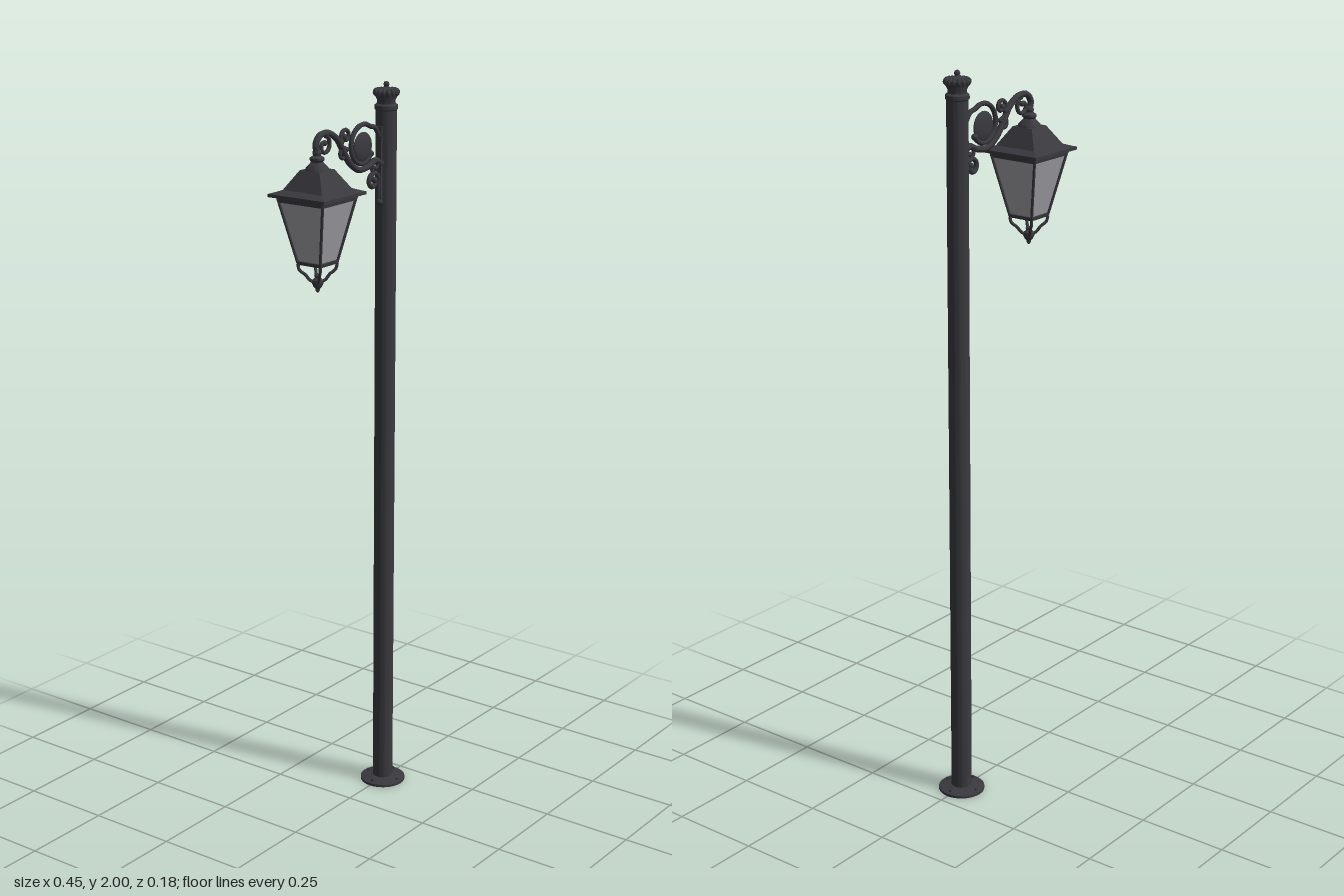
import * as THREE from 'three';
import { toCreasedNormals } from 'three/addons/utils/BufferGeometryUtils.js';

const POLE_X = 0.16, LAMP_X = -0.138;

export function createModel() {
  const root = new THREE.Group();
  root.name = 'streetLamp';
  const iron = new THREE.MeshStandardMaterial({ color: 0x3a393f });
  iron.name = 'dark iron';
  const glass = new THREE.MeshStandardMaterial({ color: 0xa0a0a5, side: THREE.DoubleSide });
  glass.name = 'frosted glass';

  const group = (name, x) => {
    const g = new THREE.Group();
    g.name = name;
    g.position.x = x;
    root.add(g);
    return g;
  };
  const add = (parent, name, geo, mat = iron) => {
    const m = new THREE.Mesh(geo, mat);
    m.name = name;
    parent.add(m);
    return m;
  };
  // Turned part from [radius, height] pairs, bottom to top
  const lathe = (pts, seg = 32) => toCreasedNormals(
    new THREE.LatheGeometry(pts.map(p => new THREE.Vector2(...p)), seg), 0.6);
  // Square frustum given by half widths and heights
  const frustum = (top, bottom, y0, y1, open = false) => {
    const g = new THREE.CylinderGeometry(top * Math.SQRT2, bottom * Math.SQRT2, y1 - y0, 4, 1, open)
      .rotateY(Math.PI / 4).translate(0, (y0 + y1) / 2, 0);
    return toCreasedNormals(g, 0.3);
  };
  // Straight rod between two points
  const rod = (a, b, r, sides = 8) => {
    const d = b.clone().sub(a);
    const g = new THREE.CylinderGeometry(r, r, d.length(), sides);
    g.applyQuaternion(new THREE.Quaternion().setFromUnitVectors(
      new THREE.Vector3(0, 1, 0), d.normalize()));
    const m = a.clone().add(b).multiplyScalar(0.5);
    return g.translate(m.x, m.y, m.z);
  };
  const V = (x, y, z = 0) => new THREE.Vector3(x, y, z);

  // Post with base flange, bolts and collar
  const post = group('post', POLE_X);
  add(post, 'baseFlange', lathe([[0, 0], [0.063, 0], [0.063, 0.007], [0.04, 0.011], [0.028, 0.014]], 40));
  add(post, 'shaft', lathe([[0.028, 0.005], [0.028, 1.925], [0.031, 1.928], [0.031, 1.938], [0.026, 1.942], [0, 1.942]]));
  for (let i = 0; i < 4; i++) {
    const a = i * Math.PI / 2;
    add(post, 'flangeBolt', new THREE.CylinderGeometry(0.004, 0.004, 0.008, 6))
      .position.set(Math.cos(a) * 0.05, 0.011, Math.sin(a) * 0.05);
  }

  // Fluted crown on the post
  add(post, 'crown', lathe([[0.024, 1.94], [0.024, 1.95], [0.031, 1.965], [0.032, 1.974], [0.024, 1.98], [0.01, 1.983],
    [0.006, 1.986], [0.008, 1.991], [0.006, 1.997], [0, 2]]));
  for (let i = 0; i < 16; i++) {
    const a = i * Math.PI / 8;
    const petal = add(post, 'crownPetal', new THREE.SphereGeometry(1, 10, 8));
    petal.scale.set(0.012, 0.011, 0.0055);
    petal.position.set(Math.cos(a) * 0.024, 1.971, Math.sin(a) * 0.024);
    petal.rotation.y = -a;
  }

  // Lantern roof
  const lantern = group('lantern', LAMP_X);
  add(lantern, 'eave', frustum(0.089, 0.089, 1.746, 1.754));
  add(lantern, 'eaveSlope', frustum(0.062, 0.087, 1.754, 1.763));
  add(lantern, 'roof', frustum(0.031, 0.062, 1.763, 1.812));
  add(lantern, 'roofCap', lathe([[0.031, 1.81], [0.029, 1.817], [0.02, 1.826], [0.015, 1.832], [0.019, 1.837],
    [0.019, 1.842], [0.01, 1.848], [0.012, 1.855], [0.008, 1.862], [0, 1.864]], 24));

  // Glass body and its frame
  add(lantern, 'glassPanes', frustum(0.069, 0.035, 1.58, 1.744, true), glass);
  add(lantern, 'topRail', frustum(0.074, 0.071, 1.732, 1.748));
  add(lantern, 'floor', frustum(0.039, 0.037, 1.57, 1.579));
  for (const sx of [-1, 1]) for (const sz of [-1, 1]) {
    add(lantern, 'cornerPost', rod(V(sx * 0.036, 1.575, sz * 0.036), V(sx * 0.071, 1.742, sz * 0.071), 0.0038));
    // Curved straps meeting under the floor
    const strap = new THREE.CatmullRomCurve3([[0.036, 1.573], [0.033, 1.556], [0.022, 1.543], [0.015, 1.53], [0.006, 1.522]]
      .map(([r, y]) => V(sx * r, y, sz * r)));
    add(lantern, 'lowerStrap', new THREE.TubeGeometry(strap, 16, 0.0042, 8));
  }
  add(lantern, 'bottomFinial', lathe([[0, 1.495], [0.005, 1.499], [0.006, 1.506], [0.011, 1.511], [0.015, 1.52],
    [0.014, 1.528], [0.007, 1.535], [0.009, 1.54], [0, 1.546]], 20));

  // Scrolled bracket
  const bracket = group('bracket', 0);
  const scroll = (name, pts, r) => {
    const curve = new THREE.CatmullRomCurve3(pts.map(p => V(...p)));
    add(bracket, name, new THREE.TubeGeometry(curve, 64, r, 8));
    for (const p of [pts[0], pts[pts.length - 1]])
      add(bracket, name + 'End', new THREE.SphereGeometry(r * 1.35, 12, 8)).position.set(p[0], p[1], 0);
  };
  // Spiral points from the outer radius inwards
  const spiral = (cx, cy, r0, r1, start, turn) => Array.from({ length: 15 }, (_, i) => {
    const t = i / 14, a = start + turn * t, r = r0 + (r1 - r0) * t;
    return [cx + Math.cos(a) * r, cy + Math.sin(a) * r];
  });
  const PI = Math.PI;
  scroll('mainArm', [[LAMP_X, 1.855], [-0.143, 1.876], [-0.126, 1.896], [-0.092, 1.898], [-0.055, 1.878],
    [-0.03, 1.846], [0, 1.808], [0.04, 1.785], [0.085, 1.789], [0.112, 1.8], [0.134, 1.79]], 0.0085);
  scroll('upperScroll', [[0.134, 1.852], [0.11, 1.885],
    ...spiral(0.056, 1.846, 0.056, 0.044, 0.3 * PI, 1.5 * PI)], 0.0065);
  scroll('hookScroll', spiral(-0.108, 1.868, 0.026, 0.007, 0.4 * PI, -2 * PI), 0.0055);
  scroll('midScroll', spiral(-0.018, 1.88, 0.021, 0.006, 1.2 * PI, -2.2 * PI), 0.0055);
  scroll('underScroll', spiral(-0.028, 1.835, 0.018, 0.006, 0.2 * PI, 2 * PI), 0.005);
  scroll('lowerScroll', [[0.13, 1.69], [0.128, 1.725], ...spiral(0.102, 1.745, 0.026, 0.007, 0, 2.2 * PI)], 0.0065);
  scroll('innerScroll', spiral(0.112, 1.785, 0.019, 0.006, -0.5 * PI, -2 * PI), 0.005);

  // Medallion and wall plate
  const medallion = add(bracket, 'medallion', new THREE.SphereGeometry(0.039, 28, 16));
  medallion.scale.z = 0.22;
  medallion.position.set(0.056, 1.842, 0);
  add(bracket, 'mountingPlate', new THREE.BoxGeometry(0.012, 0.2, 0.016)).position.set(0.133, 1.785, 0);
  add(bracket, 'plateKnob', new THREE.SphereGeometry(0.01, 14, 10)).position.set(0.131, 1.688, 0);

  return root;
}
